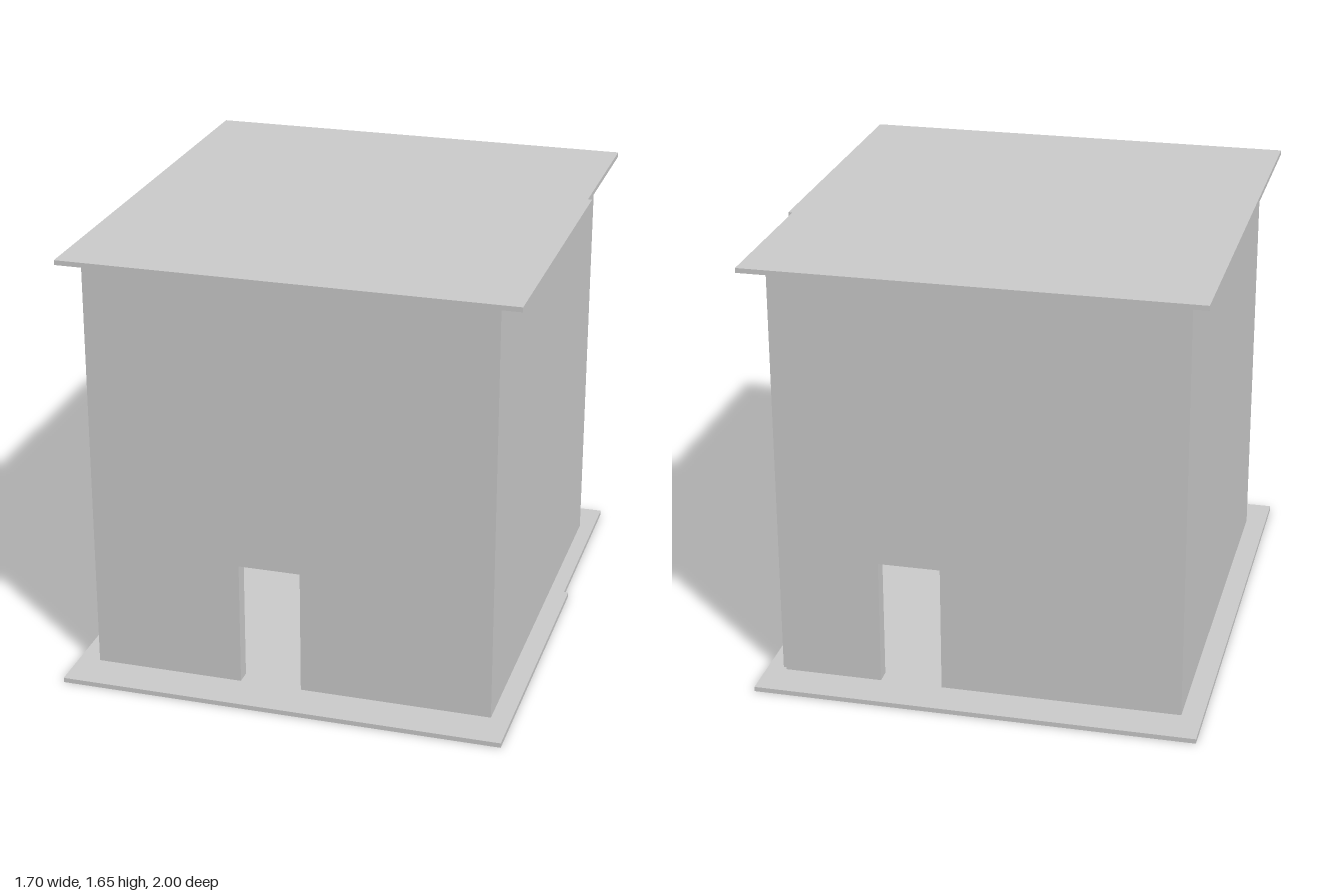
import * as THREE from 'three';

export function createModel() {
  const group = new THREE.Group();
  const mat = new THREE.MeshStandardMaterial({ color: 0xcccccc, flatShading: true });
  const floorTop = 0.018, wallTop = 1.632, roofTop = 1.65;

  const extrude = (name, points, depth) => {
    const shape = new THREE.Shape(points.map(([x, y]) => new THREE.Vector2(x, y)));
    const mesh = new THREE.Mesh(
      new THREE.ExtrudeGeometry(shape, { depth, bevelEnabled: false }), mat);
    mesh.name = name;
    group.add(mesh);
    return mesh;
  };

  // Thin horizontal slab whose right edge steps inward towards the back
  const slab = (name, x0, x1, x1Back, zBack, zStep, zFront, y, height) => {
    const mesh = extrude(name, [
      [x0, -zFront], [x1, -zFront], [x1, -zStep],
      [x1Back, -zStep], [x1Back, -zBack], [x0, -zBack],
    ], height);
    mesh.rotation.x = -Math.PI / 2;
    mesh.position.y = y;
  };
  slab('floorSlab', -0.85, 0.833, 0.816, -1, -0.21, 1, 0, floorTop);
  slab('roofSlab', -0.84, 0.848, 0.832, -0.935, -0.3, 0.91, wallTop, roofTop - wallTop);

  // End wall with a doorway cut up from the floor
  const doorWall = (name, x0, x1, d0, d1, doorTop, z, thickness) => {
    extrude(name, [
      [x0, floorTop], [d0, floorTop], [d0, doorTop], [d1, doorTop],
      [d1, floorTop], [x1, floorTop], [x1, wallTop], [x0, wallTop],
    ], thickness).position.z = z;
  };
  doorWall('frontWall', -0.77, 0.758, -0.203, 0.032, 0.498, 0.777, 0.058);
  doorWall('backWall', -0.77, 0.743, 0.135, 0.37, 0.505, -0.845, 0.058);

  // Plain side walls; the right one stops just short of the back face
  const sideWall = (name, x0, x1, z0, z1) => {
    const mesh = new THREE.Mesh(
      new THREE.BoxGeometry(x1 - x0, wallTop - floorTop, z1 - z0), mat);
    mesh.position.set((x0 + x1) / 2, (wallTop + floorTop) / 2, (z0 + z1) / 2);
    mesh.name = name;
    group.add(mesh);
  };
  sideWall('rightWall', -0.77, -0.712, -0.787, 0.777);
  sideWall('leftWall', 0.708, 0.758, -0.83, 0.777);

  return group;
}
